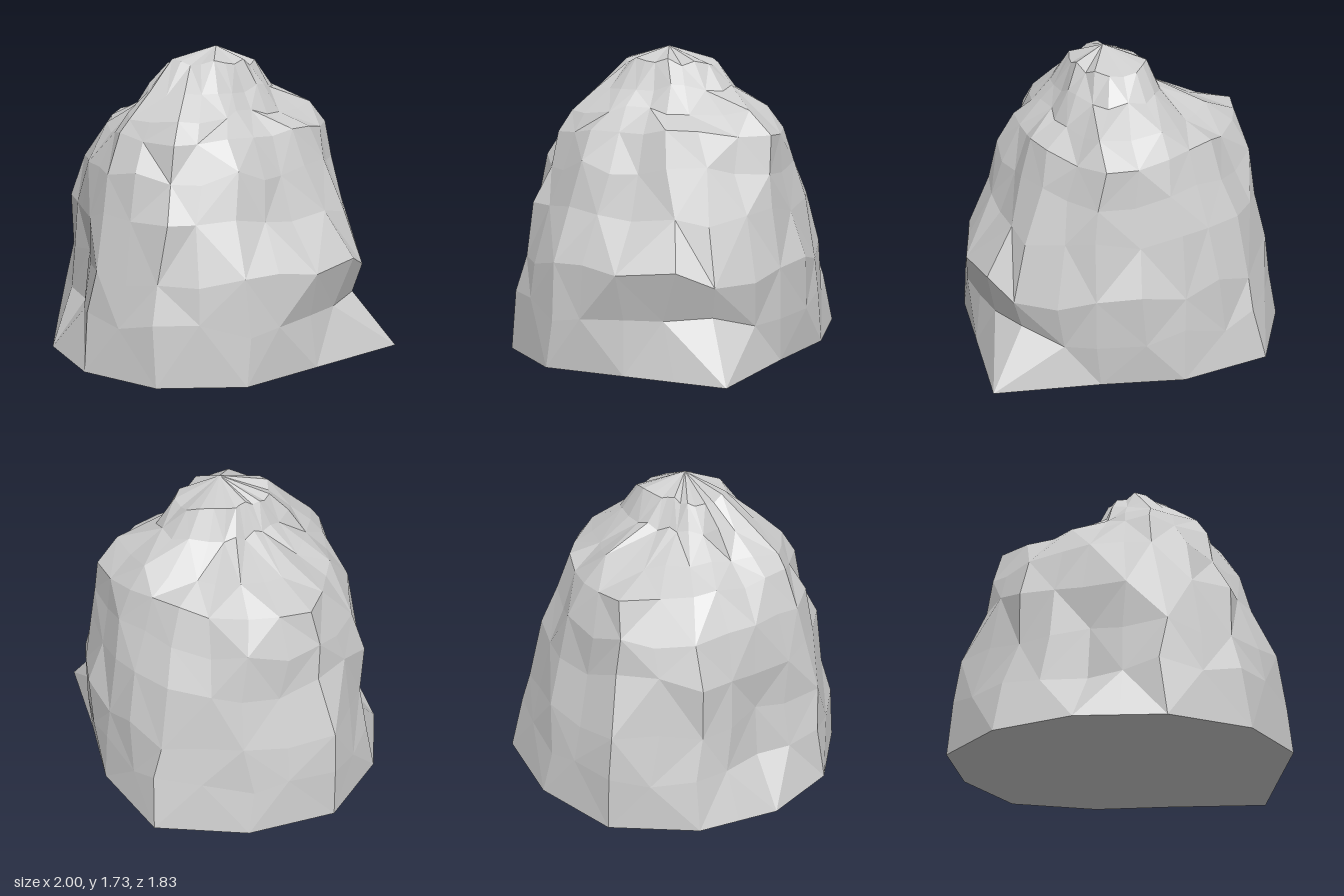
import * as THREE from 'three';

// Cross-sections: height and radii every 30 degrees, from +x round towards +z
const SECTIONS = [
  [0.03, [0.89, 0.93, 0.93, 0.91, 0.9, 0.93, 1.0, 0.99, 1.05, 0.915, 0.87, 1.15]],
  [0.3, [0.87, 0.9, 0.89, 0.87, 0.71, 0.87, 0.99, 0.94, 0.96, 0.89, 0.87, 0.88]],
  [0.55, [0.92, 0.87, 0.84, 0.83, 0.68, 0.82, 0.94, 0.89, 0.91, 0.87, 0.89, 0.96]],
  [0.85, [0.71, 0.76, 0.78, 0.77, 0.7, 0.8, 0.82, 0.82, 0.83, 0.8, 0.83, 0.82]],
  [1.08, [0.62, 0.67, 0.7, 0.7, 0.66, 0.72, 0.81, 0.76, 0.74, 0.74, 0.78, 0.7]],
  [1.27, [0.54, 0.58, 0.63, 0.62, 0.54, 0.57, 0.75, 0.68, 0.64, 0.69, 0.75, 0.63]],
  [1.38, [0.38, 0.48, 0.57, 0.56, 0.42, 0.39, 0.47, 0.51, 0.48, 0.58, 0.65, 0.46]],
  [1.5, [0.32, 0.36, 0.41, 0.41, 0.31, 0.23, 0.2, 0.24, 0.31, 0.41, 0.43, 0.36]],
  [1.64, [0.26, 0.25, 0.24, 0.23, 0.2, 0.16, 0.12, 0.15, 0.22, 0.3, 0.32, 0.28]],
];
const COLS = 24;

function seeded(seed) {
  return () => {
    seed = (seed * 16807) % 2147483647;
    return seed / 2147483647 - 0.5;
  };
}

function rockGeometry() {
  const rand = seeded(4711);
  const pos = [];
  const index = [];
  SECTIONS.forEach(([height, radii], i) => {
    const knot = (k) => {
      const angle = (k / 12) * Math.PI * 2;
      return new THREE.Vector2(Math.cos(angle), Math.sin(angle)).multiplyScalar(radii[k % 12]);
    };
    for (let j = 0; j < COLS; j++) {
      const k = Math.floor(j / 2);
      const p = knot(k);
      if (j % 2) p.lerp(knot(k + 1), 0.5);
      let y = 0.022 - 0.025 * p.y; // base tips slightly to the front
      if (i > 0) {
        // chipped, uneven facets, smaller near the summit
        const bulge = j % 2 ? 1.02 : 1;
        p.multiplyScalar(bulge + rand() * 0.05);
        p.rotateAround(new THREE.Vector2(), rand() * 0.08);
        y = height + rand() * (height < 1.2 ? 0.09 : 0.05);
      }
      pos.push(p.x, y, p.y);
    }
  });

  // Sides, with the diagonals alternating
  const at = (i, j) => i * COLS + (j % COLS);
  for (let i = 0; i < SECTIONS.length - 1; i++) {
    for (let j = 0; j < COLS; j++) {
      const a = at(i, j), b = at(i, j + 1), c = at(i + 1, j), d = at(i + 1, j + 1);
      if ((i + j) % 2) index.push(a, c, b, b, c, d);
      else index.push(a, d, b, a, c, d);
    }
  }

  // Summit and flat underside
  const top = pos.length / 3;
  pos.push(0.08, 1.73, -0.03, 0, 0.022, 0);
  for (let j = 0; j < COLS; j++) {
    index.push(top, at(SECTIONS.length - 1, j + 1), at(SECTIONS.length - 1, j));
    index.push(top + 1, at(0, j), at(0, j + 1));
  }

  const geometry = new THREE.BufferGeometry();
  geometry.setAttribute('position', new THREE.Float32BufferAttribute(pos, 3));
  geometry.setIndex(index);
  const faceted = geometry.toNonIndexed();
  faceted.computeVertexNormals();
  return faceted;
}

export function createModel() {
  const group = new THREE.Group();
  group.name = 'boulder';
  const rock = new THREE.Mesh(
    rockGeometry(),
    new THREE.MeshStandardMaterial({ color: 0xcccccc, flatShading: true })
  );
  rock.name = 'rock';
  group.add(rock);
  return group;
}
